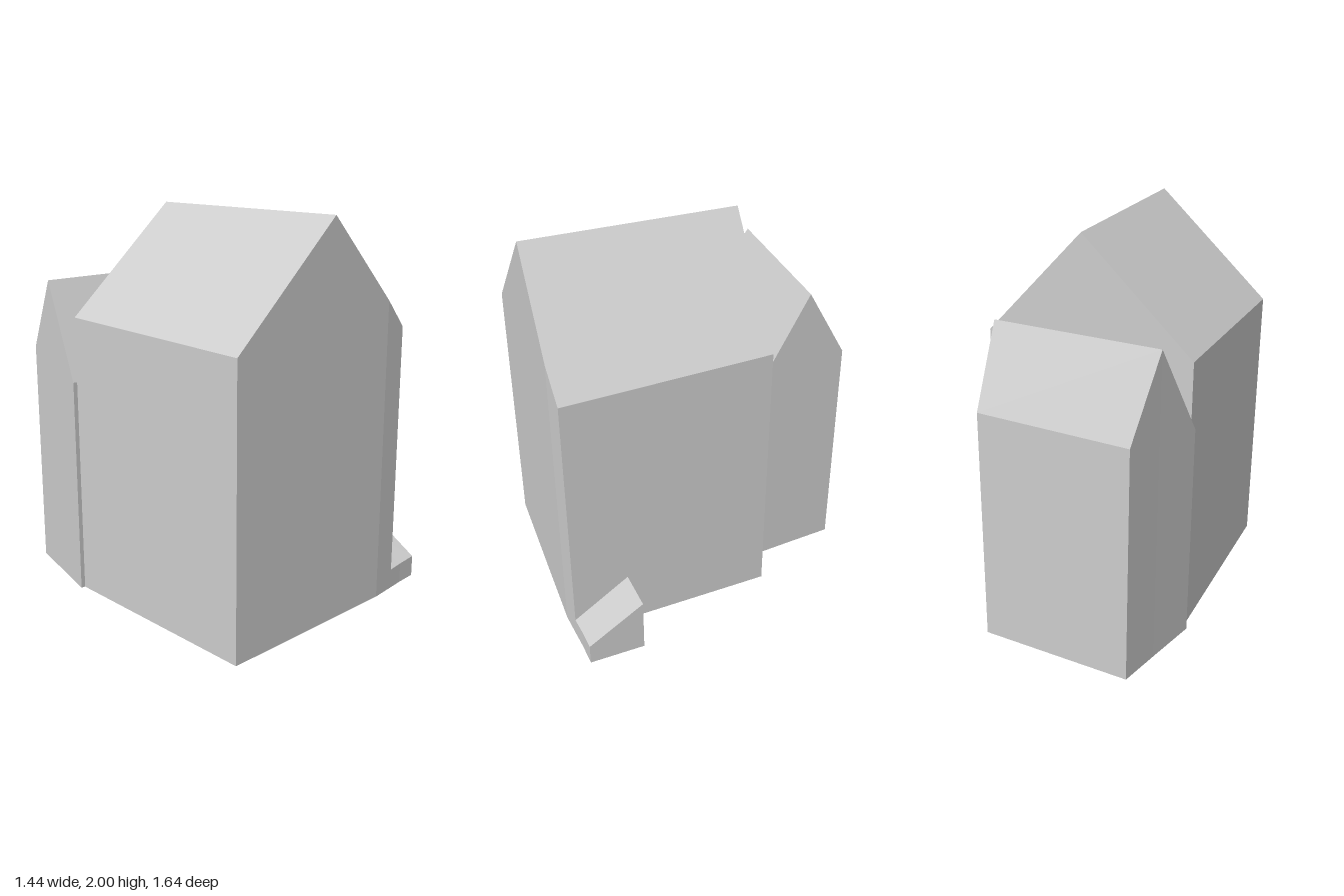
import * as THREE from 'three';

const wallGrey = new THREE.MeshStandardMaterial({ color: 0xcccccc });
wallGrey.name = 'plain grey';

// Closed block: corners [x, z, top height] run counter-clockwise seen from above;
// roofs are loops of corner indices, one per roof slope.
function block(name, corners, roofs) {
  const top = corners.map(([x, z, h]) => [x, h, z]);
  const base = corners.map(([x, z]) => [x, 0, z]);
  const positions = [];
  const face = (loop) => {
    for (let i = 1; i < loop.length - 1; i++) {
      positions.push(...loop[0], ...loop[i], ...loop[i + 1]);
    }
  };
  corners.forEach((_, i) => {
    const j = (i + 1) % corners.length;
    face([base[i], base[j], top[j], top[i]]);
  });
  roofs.forEach((loop) => face(loop.map((i) => top[i])));
  face([...base].reverse());

  const geometry = new THREE.BufferGeometry();
  geometry.setAttribute('position', new THREE.Float32BufferAttribute(positions, 3));
  geometry.computeVertexNormals();
  const mesh = new THREE.Mesh(geometry, wallGrey);
  mesh.name = name;
  return mesh;
}

export function createModel() {
  const house = new THREE.Group();
  house.name = 'house';

  // Tall gabled house, ridge running front to back
  house.add(block('mainHouse', [
    [-0.648, 0.82, 1.443], [-0.04, 0.808, 2], [0.37, 0.799, 1.568], [0.507, 0.782, 1.42],
    [0.418, -0.302, 1.442], [-0.11, -0.309, 2], [-0.698, -0.316, 1.462],
  ], [[0, 1, 5, 6], [5, 1, 2, 3, 4]]));

  // Lower rear wing, ridge running side to side
  house.add(block('rearWing', [
    [-0.72, -0.317, 1.13], [0.24, -0.305, 1.13], [0.2, -0.591, 1.612],
    [0.17, -0.815, 1.228], [-0.62, -0.825, 1.222], [-0.663, -0.602, 1.612],
  ], [[0, 1, 2, 5], [5, 2, 3, 4]]));

  // Small lean-to on the side wall, sloping down to the front
  house.add(block('sideShed', [
    [0.507, 0.782, 0.105], [0.6, 0.77, 0.108], [0.717, 0.76, 0.112],
    [0.698, 0.47, 0.296], [0.483, 0.487, 0.296],
  ], [[4, 0, 1, 2, 3]]));

  return house;
}
